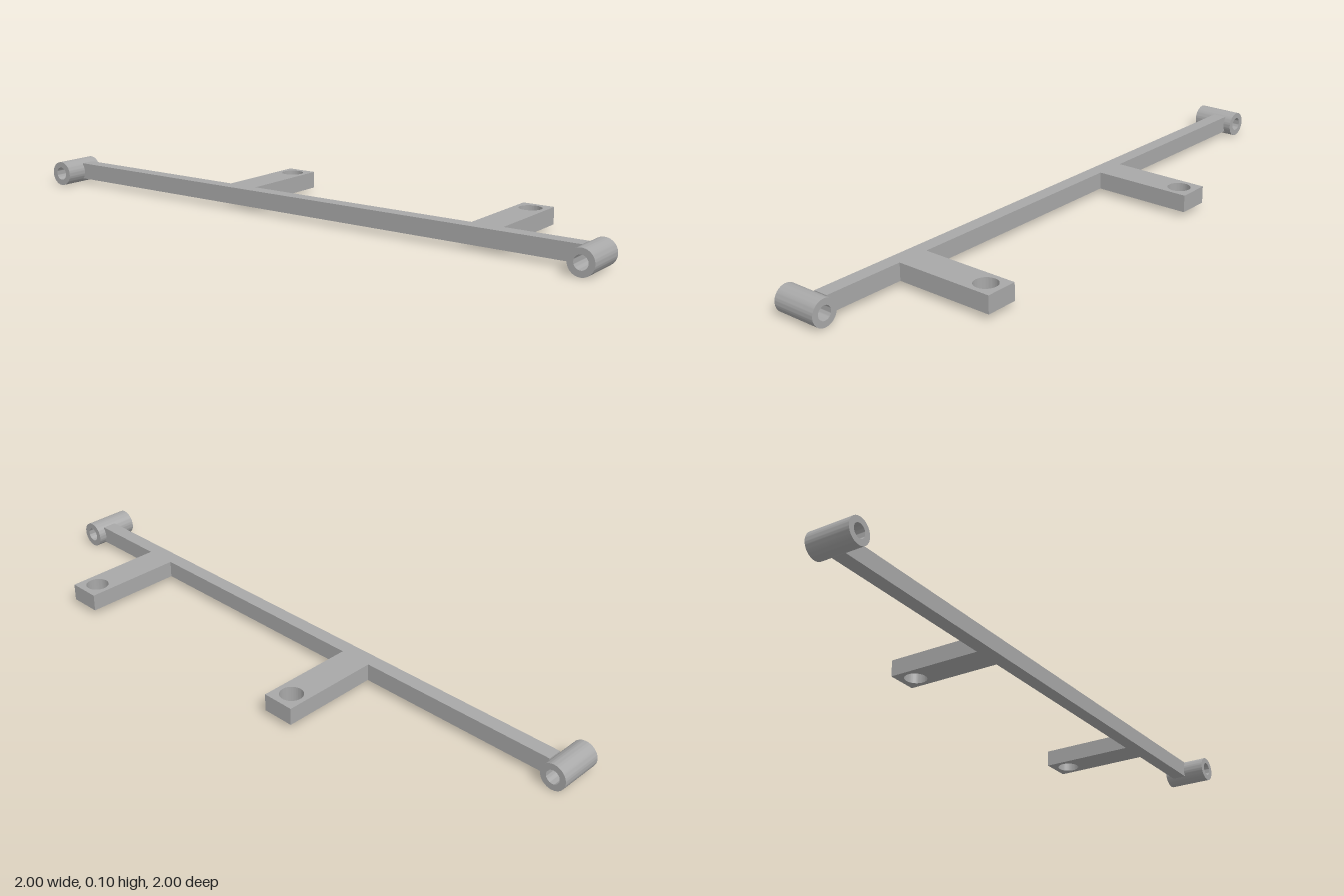
import * as THREE from 'three';
import { toCreasedNormals } from 'three/addons/utils/BufferGeometryUtils.js';

const steel = new THREE.MeshStandardMaterial({ color: 0xa8a8a8 });
steel.name = 'steel grey';

const circle = (x, y, r) => new THREE.Path().absarc(x, y, r, 0, Math.PI * 2, true);

function extrude(shape, depth) {
  const geo = new THREE.ExtrudeGeometry(shape, { depth, bevelEnabled: false, curveSegments: 32 });
  return toCreasedNormals(geo, 0.6);
}

export function createModel() {
  const group = new THREE.Group();
  group.name = 'mountingBracket';

  // Crossbar and its two drilled tabs, one flat plate in plan
  const halfLength = 1.225, barDepth = 0.06, tabEnd = 0.472, tabHalf = 0.066;
  const tabs = [0.825, -0.329];
  const plate = new THREE.Shape();
  plate.moveTo(-halfLength, 0);
  plate.lineTo(halfLength, 0);
  plate.lineTo(halfLength, barDepth);
  for (const u of tabs) {
    plate.lineTo(u + tabHalf, barDepth);
    plate.lineTo(u + tabHalf, tabEnd);
    plate.lineTo(u - tabHalf, tabEnd);
    plate.lineTo(u - tabHalf, barDepth);
    plate.holes.push(circle(u, 0.402, 0.046));
  }
  plate.lineTo(-halfLength, barDepth);
  plate.closePath();
  const bar = new THREE.Mesh(extrude(plate, 0.07).rotateX(-Math.PI / 2), steel);
  bar.name = 'crossbarWithTabs';
  bar.position.y = 0.021;
  group.add(bar);

  // Hollow bushing across each end of the bar
  const radius = 0.0525, length = 0.187;
  const ring = new THREE.Shape().absarc(0, 0, radius, 0, Math.PI * 2, false);
  ring.holes.push(circle(0, 0, 0.028));
  const tube = extrude(ring, length).translate(0, 0, -length / 2);
  for (const side of [-1, 1]) {
    const bushing = new THREE.Mesh(tube, steel);
    bushing.name = side > 0 ? 'frontBushing' : 'rearBushing';
    bushing.position.set(side * 1.266, radius, 0);
    group.add(bushing);
  }

  // The bar lies along the diagonal
  group.rotation.y = -Math.PI / 4;
  const model = new THREE.Group();
  model.name = 'bracket';
  model.add(group);
  return model;
}
